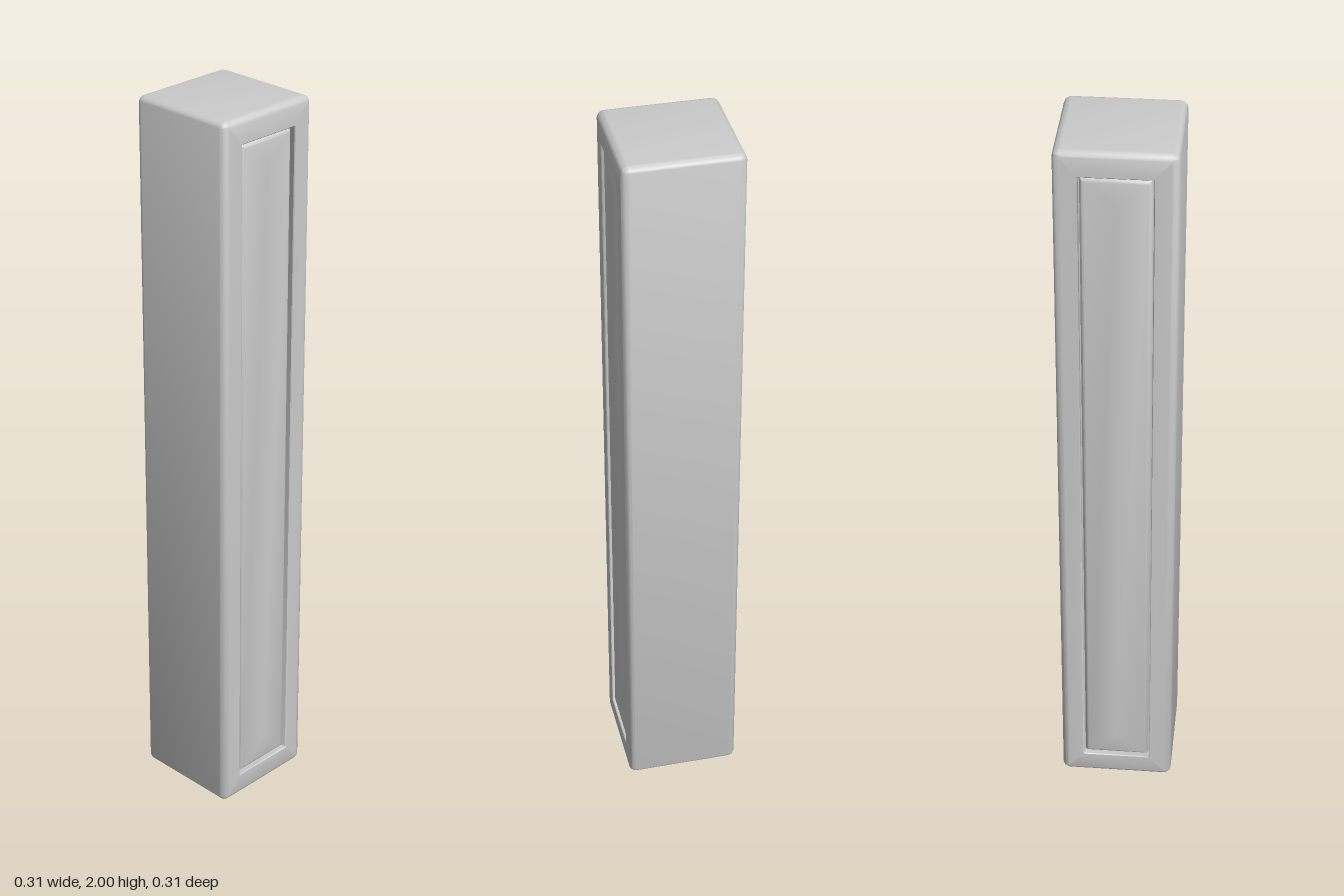
import * as THREE from 'three';
import { toCreasedNormals } from 'three/addons/utils/BufferGeometryUtils.js';

const HALF = 0.155;      // half width and depth of the post
const MID = 1;           // half height
const FILLET = 0.02;
const CORNER_STEPS = 5;

// Rounded rectangle in the xy plane, counter-clockwise seen from +z
function ring([w, h, r, z]) {
  const points = [];
  const corners = [[1, 1], [-1, 1], [-1, -1], [1, -1]];
  corners.forEach(([sx, sy], q) => {
    for (let i = 0; i <= CORNER_STEPS; i++) {
      const a = (q + i / CORNER_STEPS) * Math.PI / 2;
      points.push(sx * (w - r) + r * Math.cos(a), sy * (h - r) + r * Math.sin(a), z);
    }
  });
  return points;
}

// Skin over successive rings [halfWidth, halfHeight, cornerRadius, z]
function loft(sections) {
  const n = 4 * (CORNER_STEPS + 1);
  const index = [];
  for (let i = 0; i < sections.length - 1; i++) {
    for (let j = 0; j < n; j++) {
      const k = (j + 1) % n;
      const a = i * n + j, b = i * n + k, c = a + n, d = b + n;
      index.push(a, c, d, a, d, b);
    }
  }
  const geometry = new THREE.BufferGeometry();
  geometry.setAttribute('position', new THREE.Float32BufferAttribute(sections.flatMap(ring), 3));
  geometry.setIndex(index);
  return toCreasedNormals(geometry, 0.5);
}

export function createModel() {
  const group = new THREE.Group();
  const material = new THREE.MeshStandardMaterial({ color: 0xcccccc });
  const add = (name, geometry) => {
    const mesh = new THREE.Mesh(geometry, material);
    mesh.name = name;
    mesh.position.y = MID;
    group.add(mesh);
    return mesh;
  };

  // Post: groove floor, groove wall, face, then the rounded outer edge
  const floorZ = HALF - 0.022;
  const half = [
    [0.07, 0.91, 0.002, floorZ],
    [0.093, 0.933, 0.002, floorZ],
    [0.093, 0.933, 0.002, HALF - 0.002],
    [0.095, 0.935, 0.004, HALF],
  ];
  for (let i = 0; i <= 6; i++) {
    const a = i / 6 * Math.PI / 2;
    const inset = FILLET * (1 - Math.sin(a));
    half.push([HALF - inset, MID - inset, Math.max(FILLET - inset, 0.001), HALF - FILLET * (1 - Math.cos(a))]);
  }
  const back = half.map(([w, h, r, z]) => [w, h, r, -z]).reverse();
  add('post', loft([...half, ...back]));

  // Bevelled panels set into the front and back recesses
  const panel = loft([
    [0, 0.855, 0, HALF - 0.005],
    [0.078, 0.918, 0.002, HALF - 0.005],
    [0.084, 0.924, 0.002, HALF - 0.008],
    [0.088, 0.928, 0.002, HALF - 0.014],
    [0.09, 0.93, 0.002, floorZ],
  ]);
  add('frontPanel', panel);
  add('backPanel', panel).rotation.y = Math.PI;

  return group;
}
